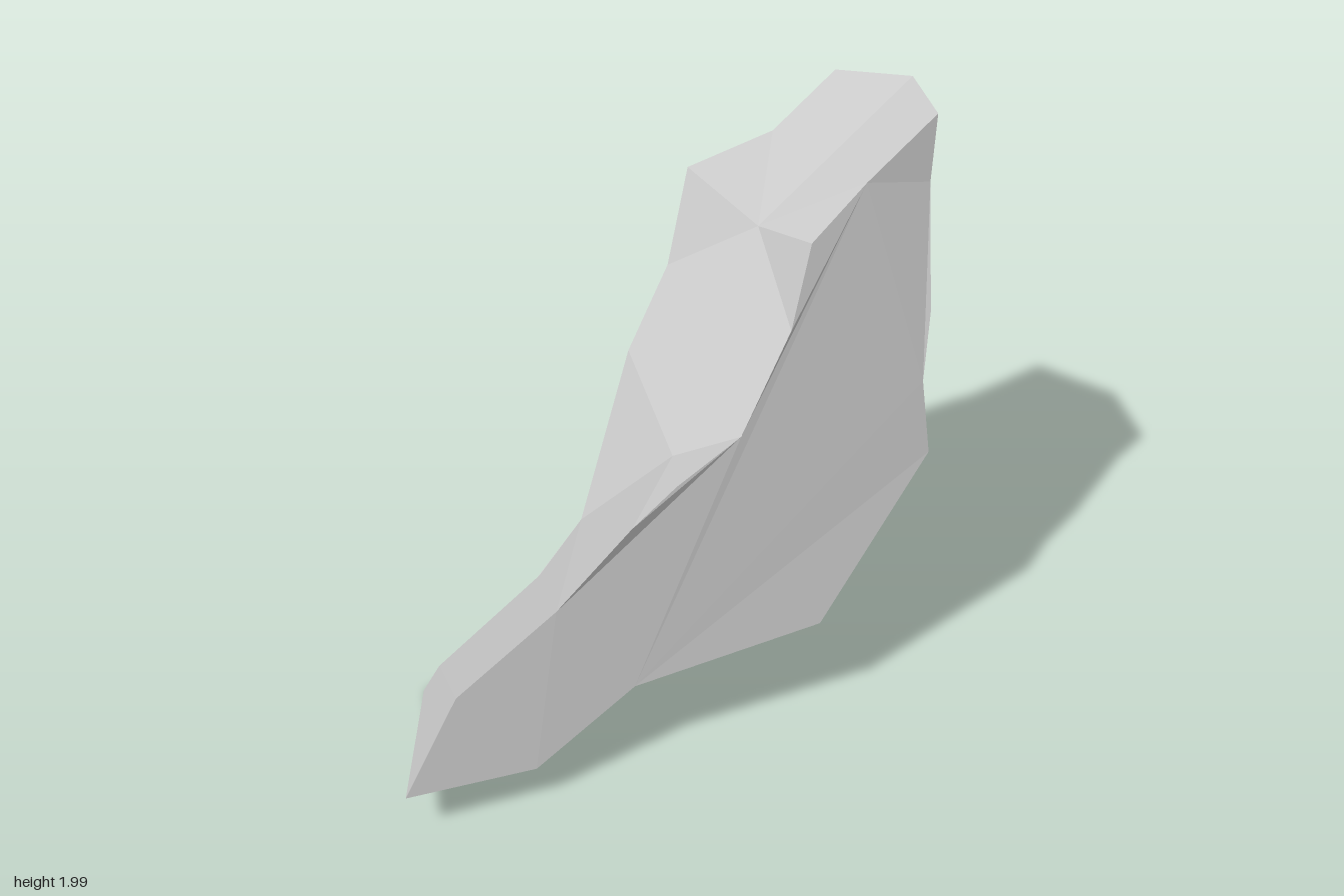
import * as THREE from 'three';

// Outline of the front side, clockwise from the toe
const front = [
  [-0.73, 0.165, 1], [-0.59, 0.445, 0.83], [-0.3, 0.65, 0.61], [-0.08, 0.87, 0.44], [0.05, 0.97, 0.33],
  [0.24, 1.08, 0.18], [0.38, 1.39, 0.02], [0.43, 1.655, -0.08], [0.59, 1.81, -0.22], [0.8, 1.99, -0.38],
  [0.79, 1.77, -0.34], [0.82, 1.35, -0.24], [0.81, 1.12, -0.18], [0.845, 0.87, -0.14], [0.52, 0.375, 0.2],
  [-0.06, 0.325, 0.55], [-0.35, 0.14, 0.78],
];

// Outline of the rear side, in the same direction
const rear = [
  [-0.845, 0.015, 0.28], [-0.8, 0.08, 0.22], [-0.48, 0.32, -0.03], [-0.35, 0.48, -0.16], [-0.21, 1.04, -0.4],
  [-0.09, 1.31, -0.54], [-0.035, 1.63, -0.655], [0.24, 1.7, -0.84], [0.44, 1.87, -1], [0.474, 1.6, -0.94],
  [0.52, 1.16, -0.855], [0.605, 0.98, -0.865], [0.555, 0.82, -0.8], [0.368, 0.525, -0.6], [0.187, 0.43, -0.47],
  [0.06, 0.19, -0.34], [-0.135, 0.26, -0.21], [-0.4, 0.235, -0.04], [-0.74, 0.005, 0.21],
];

// Corner points along the middle of the rim
const step = [0, 0.9, 0.04];
const brow = [0.235, 1.565, -0.365];
const crown = [0.71, 1.97, -0.73];
const hip = [0.775, 0.99, -0.59];
const keel = [0.35, 0.335, -0.11];

const dist = (a, b) => Math.hypot(a[0] - b[0], a[1] - b[1], a[2] - b[2]);

// Triangles between two chains of points, always taking the shorter diagonal
function stitch(p, q) {
  const out = [];
  let i = 0, j = 0;
  while (i < p.length - 1 || j < q.length - 1) {
    const canP = i < p.length - 1, canQ = j < q.length - 1;
    if (canP && (!canQ || dist(p[i + 1], q[j]) < dist(p[i], q[j + 1]))) {
      out.push(p[i], p[i + 1], q[j]);
      i++;
    } else {
      out.push(p[i], q[j + 1], q[j]);
      j++;
    }
  }
  return out;
}

// Fills a side outline, triangulated in the plane of the slab
function cap(points, flip) {
  const flat = points.map(([x, y, z]) => new THREE.Vector2(0.6 * x - 0.8 * z, y));
  return THREE.ShapeUtils.triangulateShape(flat, []).flatMap(([a, b, c]) => {
    const turn = (flat[b].x - flat[a].x) * (flat[c].y - flat[a].y)
      - (flat[b].y - flat[a].y) * (flat[c].x - flat[a].x);
    const order = (turn > 0) !== flip ? [a, b, c] : [a, c, b];
    return order.map((k) => points[k]);
  });
}

export function createModel() {
  const model = new THREE.Group();
  model.name = 'facetedSlab';
  const material = new THREE.MeshStandardMaterial({ color: 0xcccccc, flatShading: true });

  function add(name, triangles) {
    const geometry = new THREE.BufferGeometry();
    geometry.setAttribute('position', new THREE.Float32BufferAttribute(triangles.flat(), 3));
    geometry.computeVertexNormals();
    const mesh = new THREE.Mesh(geometry, material);
    mesh.name = name;
    model.add(mesh);
  }

  const f = (a, b) => front.slice(a, b + 1);
  const r = (a, b) => rear.slice(a, b + 1);

  // Two broad sides
  add('frontSide', cap(front, false));
  add('rearSide', cap(rear, true));

  // Rim panels, from the toe over the head and back underneath
  add('toeEnd', stitch(f(0, 1), r(0, 1)));
  add('footTop', stitch(f(1, 5), [...r(1, 3), step]));
  add('innerWall', [...stitch(f(5, 7), [step, brow]), ...stitch([step, brow], r(3, 6))]);
  add('headTop', [...stitch(f(7, 9), [brow, crown]), ...stitch([brow, crown], r(6, 8))]);
  add('back', [...stitch(f(9, 13), [crown, hip]), ...stitch([crown, hip], r(8, 11))]);
  add('lowerBack', [...stitch(f(13, 14), [hip, keel]), ...stitch([hip, keel], r(11, 15))]);
  add('underside', stitch(f(14, 15), [keel, ...r(15, 17)]));
  add('footBottom', stitch([...f(15, 16), front[0]], [...r(17, 18), rear[0]]));

  return model;
}
